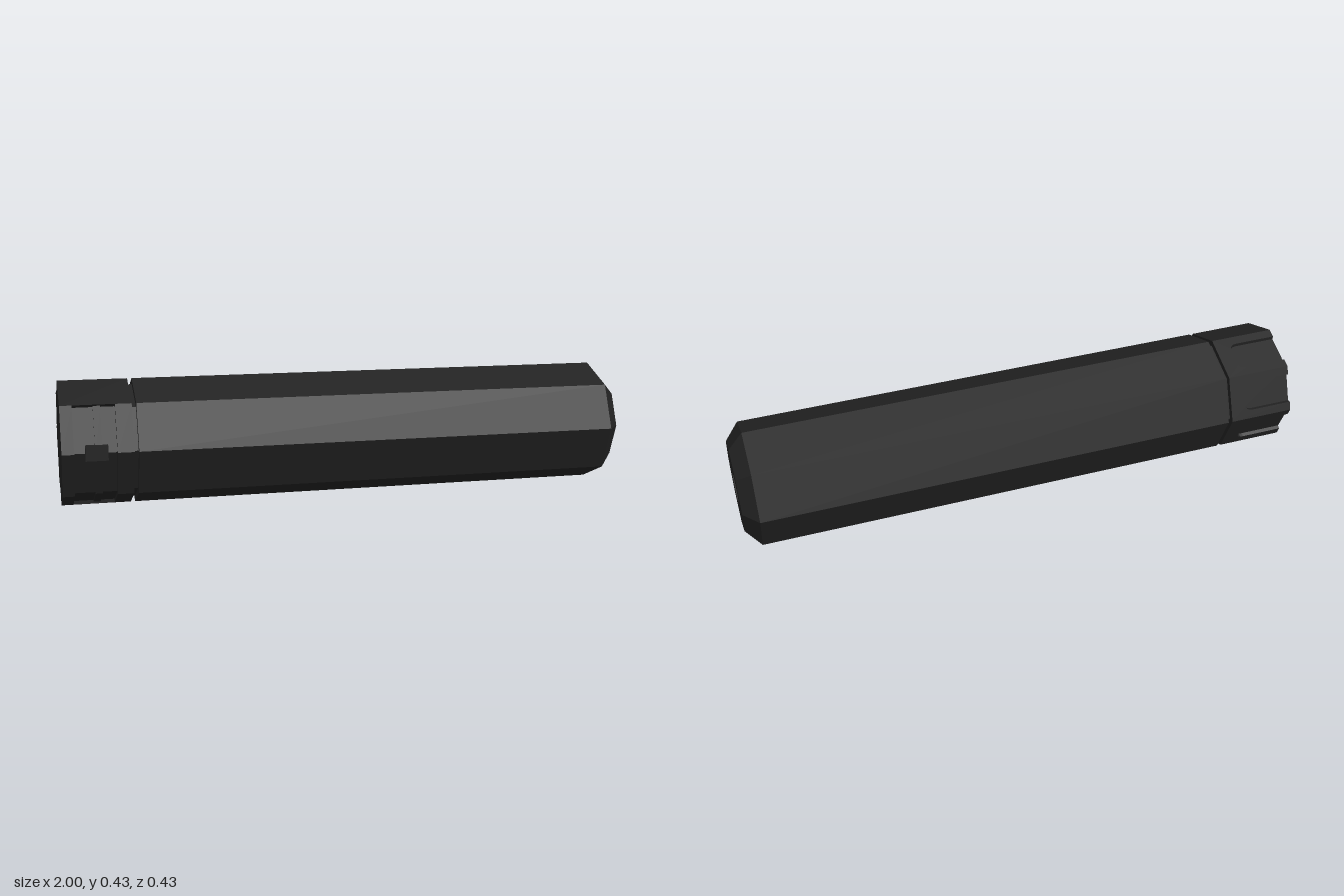
import * as THREE from 'three';

const R = 0.216;                       // octagon corner radius
const C = Math.cos(Math.PI / 8);
const A = R * C;                       // distance to a flat
const HALF = R * Math.sin(Math.PI / 8); // half width of a flat
const DEPTH = 0.012;                   // depth of the collar recesses

const black = new THREE.MeshStandardMaterial({ color: 0x222222 });
black.name = 'matte black';

function mesh(name, geometry) {
  const g = geometry.index ? geometry.toNonIndexed() : geometry;
  g.computeVertexNormals();
  const m = new THREE.Mesh(g, black);
  m.name = name;
  return m;
}

// Octagonal solid along x from [radius, x] profile points
function octagon(name, profile) {
  const g = new THREE.LatheGeometry(profile.map(p => new THREE.Vector2(...p)), 8);
  g.rotateZ(-Math.PI / 2);
  return mesh(name, g);
}

function rect(x0, x1, half = HALF) {
  return new THREE.Shape([[x0, -half], [x1, -half], [x1, half], [x0, half]]
    .map(p => new THREE.Vector2(...p)));
}

// Collar flat open at the rear with a round-cornered pocket
function pocketShape() {
  const s = new THREE.Shape(), h = 0.052, x = -0.82, r = 0.028;
  s.moveTo(-1, -HALF);
  s.lineTo(-0.765, -HALF);
  s.lineTo(-0.765, HALF);
  s.lineTo(-1, HALF);
  s.lineTo(-1, h);
  s.lineTo(x - r, h);
  s.quadraticCurveTo(x, h, x, h - r);
  s.lineTo(x, r - h);
  s.quadraticCurveTo(x, -h, x - r, -h);
  s.lineTo(-1, -h);
  return s;
}

// Plate lying on one flat of the octagon, its sides mitred toward the axis
function flatPlate(name, shape, degrees, height = DEPTH) {
  const g = new THREE.ExtrudeGeometry(shape, { depth: height, bevelEnabled: false, curveSegments: 4 });
  const p = g.attributes.position;
  for (let i = 0; i < p.count; i++) {
    const z = A - DEPTH + p.getZ(i);
    p.setXYZ(i, p.getX(i), p.getY(i) * z / A, z);
  }
  g.rotateX(-degrees * Math.PI / 180);
  return mesh(name, g);
}

export function createModel() {
  const model = new THREE.Group();
  model.name = 'octagonalTube';

  // Main tube with chamfered front and bore
  model.add(octagon('mainTube', [
    [0, -0.75], [R, -0.75], [R, 0.95], [0.157, 1], [0.065, 1], [0.065, 0.8], [0, 0.8],
  ]));
  model.add(octagon('grooveNeck', [[0.195, -0.78], [0.195, -0.74]]));

  // Rear collar
  const collar = new THREE.Group();
  collar.name = 'rearCollar';
  const core = (A - DEPTH) / C;
  collar.add(octagon('collarCore', [[0, -1], [core, -1], [core, -0.765], [0, -0.765]]));
  collar.add(flatPlate('plainFlat', rect(-1, -0.765), 67.5));
  for (const a of [112.5, 157.5, 202.5, 247.5]) collar.add(flatPlate('pocketFlat', pocketShape(), a));

  // Latch channel around the front, with a raised spring band
  for (const a of [22.5, 292.5, 337.5]) {
    collar.add(flatPlate('channelRearRail', rect(-1, -0.96), a));
    collar.add(flatPlate('channelFrontRail', rect(-0.82, -0.765), a));
    collar.add(flatPlate('springBand', rect(-0.892, -0.868), a, 0.006));
  }
  const latch = mesh('latchButton', new THREE.BoxGeometry(0.074, 0.05, 0.04));
  latch.position.set(-0.887, 0.001, 0.197);
  collar.add(latch);
  model.add(collar);

  model.position.y = 0.217;
  const root = new THREE.Group();
  root.add(model);
  return root;
}
